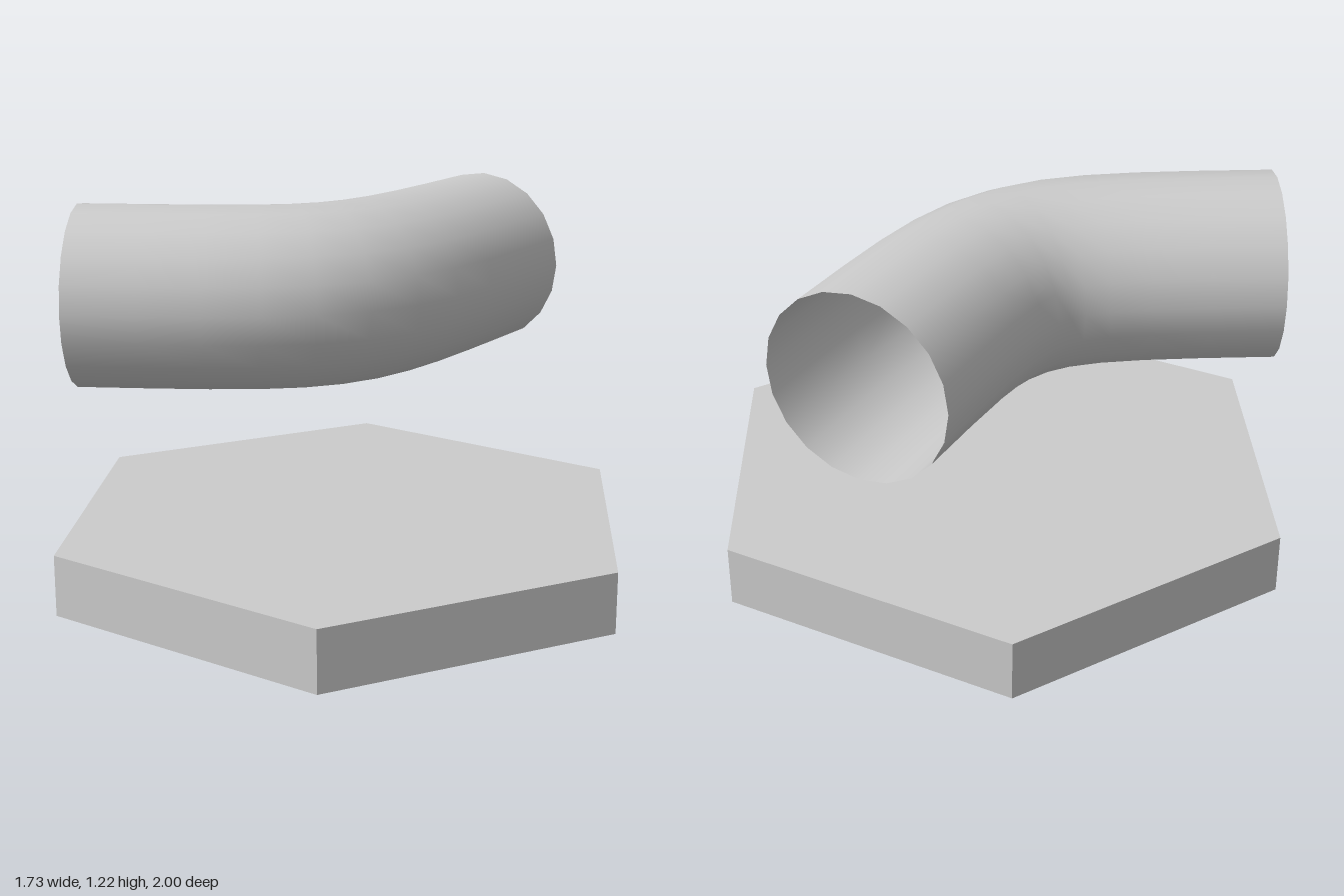
import * as THREE from 'three';

export function createModel() {
  const model = new THREE.Group();

  // Hexagonal base slab, one corner towards the front
  const base = new THREE.Mesh(
    new THREE.CylinderGeometry(1, 1, 0.2, 6),
    new THREE.MeshStandardMaterial({ color: 0xcccccc, flatShading: true })
  );
  base.name = 'hexBase';
  base.position.y = 0.1;
  model.add(base);

  // Open bent pipe joining the middles of two base edges
  const edgeMiddle = (degrees) => {
    const a = THREE.MathUtils.degToRad(degrees);
    const apothem = Math.sqrt(3) / 2;
    return new THREE.Vector3(Math.cos(a) * apothem, 0, -Math.sin(a) * apothem);
  };
  const centre = new THREE.Vector3();
  const path = new THREE.CubicBezierCurve3(edgeMiddle(180), centre, centre, edgeMiddle(60));
  // Even steps of the curve parameter put the rings closer together in the bend
  path.getPointAt = (t, target) => path.getPoint(t, target);
  path.getTangentAt = (t, target) => path.getTangent(t, target);

  const pipe = new THREE.Mesh(
    new THREE.TubeGeometry(path, 10, 0.3, 20, false),
    new THREE.MeshStandardMaterial({ color: 0xcccccc, side: THREE.DoubleSide })
  );
  pipe.name = 'bentPipe';
  pipe.position.y = 0.915;
  model.add(pipe);

  return model;
}
